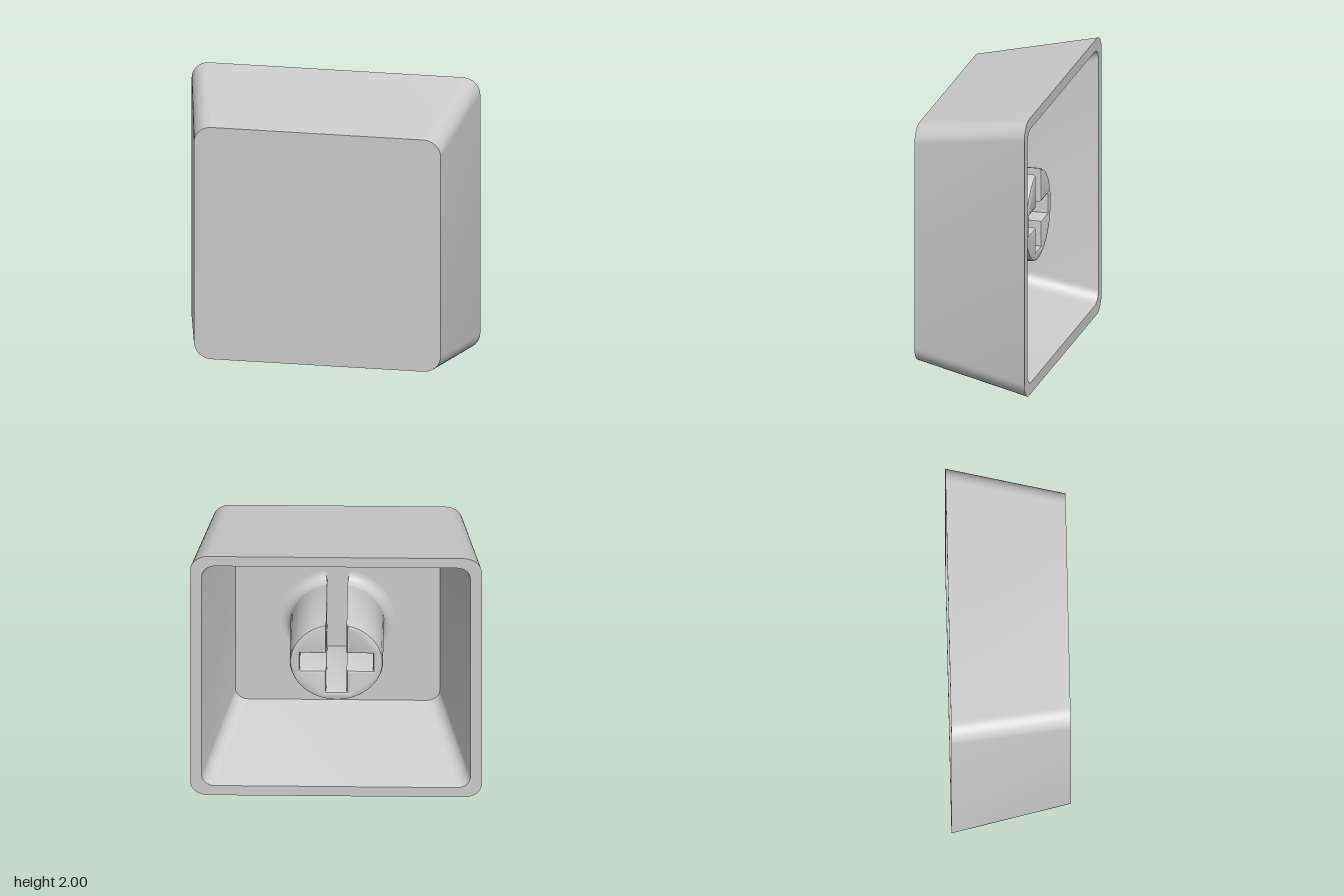
import * as THREE from 'three';
import { toCreasedNormals } from 'three/addons/utils/BufferGeometryUtils.js';

const material = new THREE.MeshStandardMaterial({ color: 0xcccccc });
const CORNER_STEPS = 8;

// Rounded square of half-width h and corner radius r, counter-clockwise seen from +z
function roundedSquare(h, r, z) {
  const points = [];
  for (let c = 0; c < 4; c++) {
    const start = c * Math.PI / 2;
    const cx = (h - r) * (c === 0 || c === 3 ? 1 : -1);
    const cy = (h - r) * (c < 2 ? 1 : -1);
    for (let i = 0; i <= CORNER_STEPS; i++) {
      const a = start + (i / CORNER_STEPS) * Math.PI / 2;
      points.push([cx + r * Math.cos(a), cy + r * Math.sin(a), z]);
    }
  }
  return points;
}

// Skin a list of loops that begins and ends with a loop shrunk to a point
function loft(loops) {
  const n = loops[0].length;
  const index = [];
  for (let k = 0; k < loops.length - 1; k++) {
    for (let i = 0; i < n; i++) {
      const j = (i + 1) % n;
      const a = k * n + i, b = k * n + j, c = a + n, d = b + n;
      if (k < loops.length - 2) index.push(a, c, d);
      else index.push(a, c, b);
      if (k > 0 && k < loops.length - 2) index.push(a, d, b);
    }
  }
  const geometry = new THREE.BufferGeometry();
  geometry.setAttribute('position', new THREE.Float32BufferAttribute(loops.flat(2), 3));
  geometry.setIndex(index);
  return toCreasedNormals(geometry, 0.5);
}

function addMesh(group, name, geometry, mat = material) {
  const mesh = new THREE.Mesh(geometry, mat);
  mesh.name = name;
  group.add(mesh);
}

export function createModel() {
  const group = new THREE.Group();
  group.name = 'keycap';
  const front = 0.41, back = -0.41, floor = 0.31;

  // Tapered hollow shell: front face, outer walls, rim, inner walls, cavity floor
  addMesh(group, 'shell', loft([
    roundedSquare(0, 0, front),
    roundedSquare(0.855, 0.12, front),
    roundedSquare(1, 0.12, back),
    roundedSquare(0.92, 0.09, back),
    roundedSquare(0.7, 0.09, floor),
    roundedSquare(0, 0, floor),
  ]));

  // Round stem with a cross slot whose upper arm is open
  const r = 0.32, w = 0.07, arm = 0.25, bevel = 0.02, tip = -0.24;
  const open = Math.asin(w / r);
  const outline = new THREE.Shape();
  outline.absarc(0, 0, r, Math.PI / 2 - open, Math.PI / 2 + open, true);
  [[-w, w], [-arm, w], [-arm, -w], [-w, -w], [-w, -arm], [w, -arm],
    [w, -w], [arm, -w], [arm, w], [w, w]].forEach(([x, y]) => outline.lineTo(x, y));
  outline.closePath();
  const stem = new THREE.ExtrudeGeometry(outline, {
    depth: floor - tip - bevel, curveSegments: 16,
    bevelEnabled: true, bevelThickness: bevel, bevelSize: bevel,
    bevelOffset: -bevel, bevelSegments: 2,
  });
  stem.translate(0, 0, tip + bevel);
  addMesh(group, 'stem', toCreasedNormals(stem, 0.5));

  // Concave fillet where the stem meets the floor, interrupted by the open slot
  const f = 0.07, profile = [];
  for (let i = 0; i <= 6; i++) {
    const a = (i / 6) * Math.PI / 2;
    profile.push(new THREE.Vector2(r + f - f * Math.sin(Math.PI / 2 - a) * 1 + 0, f - f * Math.cos(Math.PI / 2 - a)));
  }
  profile.reverse();
  const fillet = new THREE.LatheGeometry(profile, 40, open, Math.PI * 2 - 2 * open);
  fillet.rotateX(-Math.PI / 2);
  fillet.translate(0, 0, floor);
  const thin = material.clone();
  thin.side = THREE.DoubleSide;
  addMesh(group, 'stemFillet', fillet, thin);

  group.position.y = 1;
  const model = new THREE.Group();
  model.add(group);
  return model;
}
